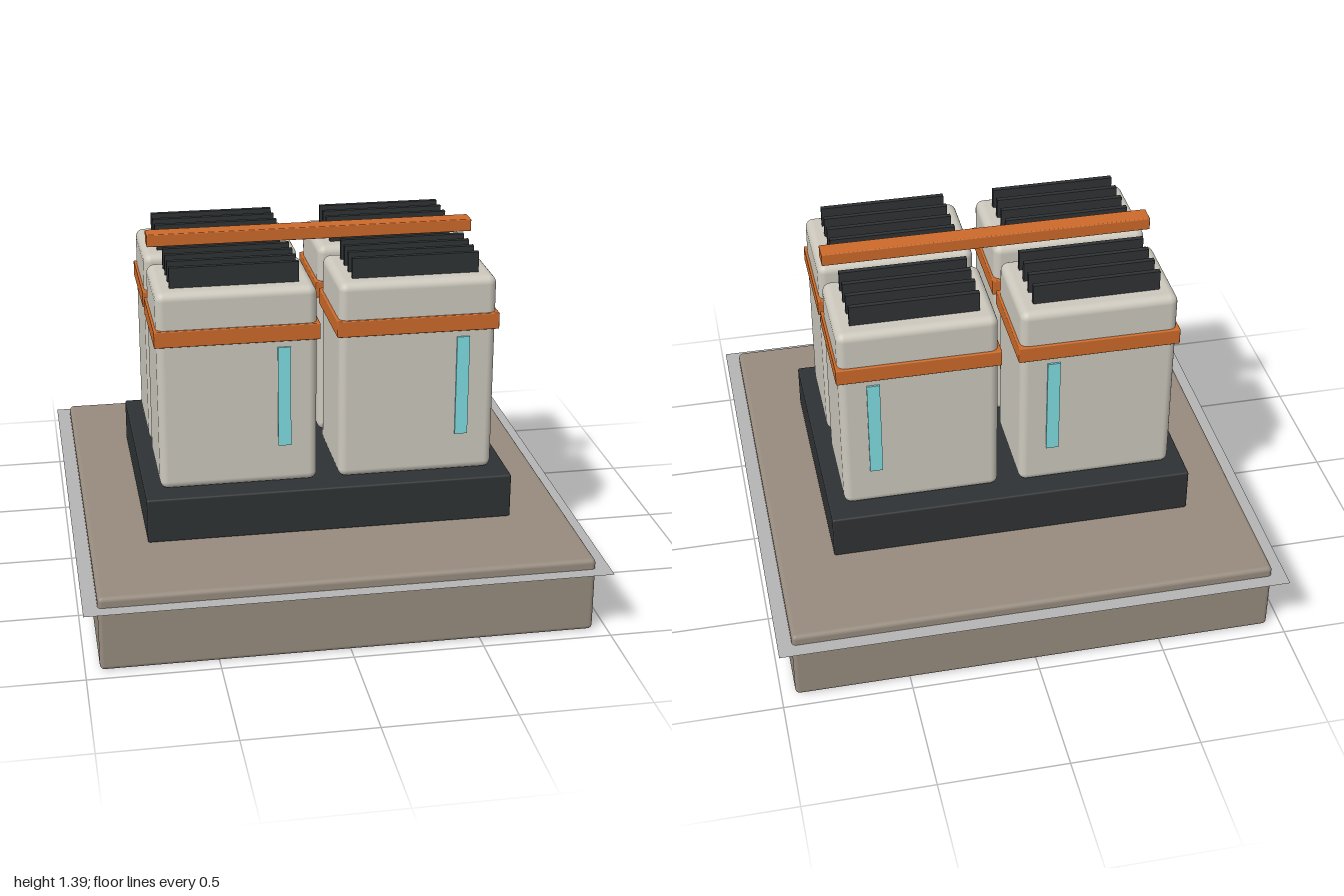
import * as THREE from 'three';
import { RoundedBoxGeometry } from 'three/addons/geometries/RoundedBoxGeometry.js';

const mat = (color) => new THREE.MeshStandardMaterial({ color });

export function createModel() {
  const stone = mat(0x978b7e);
  const dark = mat(0x2f3234);
  const shell = mat(0xccc8bd);
  const copper = mat(0xcc6a2a);
  const glass = mat(0x7fdde2);
  const model = new THREE.Group();
  model.name = 'tankBank';

  // Box spanning y0..y1, centred on x and z, with optionally rounded edges
  function block(parent, name, material, w, y0, y1, d, x = 0, z = 0, radius = 0) {
    const h = y1 - y0;
    const geometry = radius
      ? new RoundedBoxGeometry(w, h, d, 3, radius)
      : new THREE.BoxGeometry(w, h, d);
    const mesh = new THREE.Mesh(geometry, material);
    mesh.name = name;
    mesh.position.set(x, (y0 + y1) / 2, z);
    parent.add(mesh);
    return mesh;
  }

  // Thin ground sheet running through the base slab
  const sheetMaterial = mat(0xb4b4b4);
  sheetMaterial.side = THREE.DoubleSide;
  const sheet = new THREE.Mesh(new THREE.PlaneGeometry(2, 2), sheetMaterial);
  sheet.name = 'groundSheet';
  sheet.rotation.x = -Math.PI / 2;
  sheet.position.y = 0.26;
  model.add(sheet);

  // Base slab and plinth
  block(model, 'baseSlab', stone, 1.89, 0, 0.3, 1.89, 0, 0, 0.018);
  block(model, 'plinth', dark, 1.44, 0.3, 0.48, 1.04, 0, 0, 0.008);

  // Four tanks, each with a band, cooling fins and an outward-facing gauge
  for (const sx of [-1, 1]) {
    for (const sz of [-1, 1]) {
      const tank = new THREE.Group();
      tank.name = `${sz > 0 ? 'front' : 'back'}${sx > 0 ? 'Left' : 'Right'}Tank`;
      tank.position.set(sx * 0.35, 0, sz * 0.24);
      model.add(tank);
      block(tank, 'tankBody', shell, 0.615, 0.48, 1.28, 0.395, 0, 0, 0.032);
      block(tank, 'band', copper, 0.635, 1.07, 1.135, 0.415, 0, 0, 0.004);
      block(tank, 'gauge', glass, 0.05, 0.64, 1.045, 0.02, 0.178, sz * 0.195);
      for (let i = 0; i < 4; i++) {
        block(tank, 'coolingFin', dark, 0.495, 1.27, 1.36, 0.02, 0, (i - 1.5) * 0.08);
      }
    }
  }

  // Bar running between the two rows
  block(model, 'topBar', copper, 1.3, 1.34, 1.39, 0.075, 0, 0, 0.004);
  return model;
}
